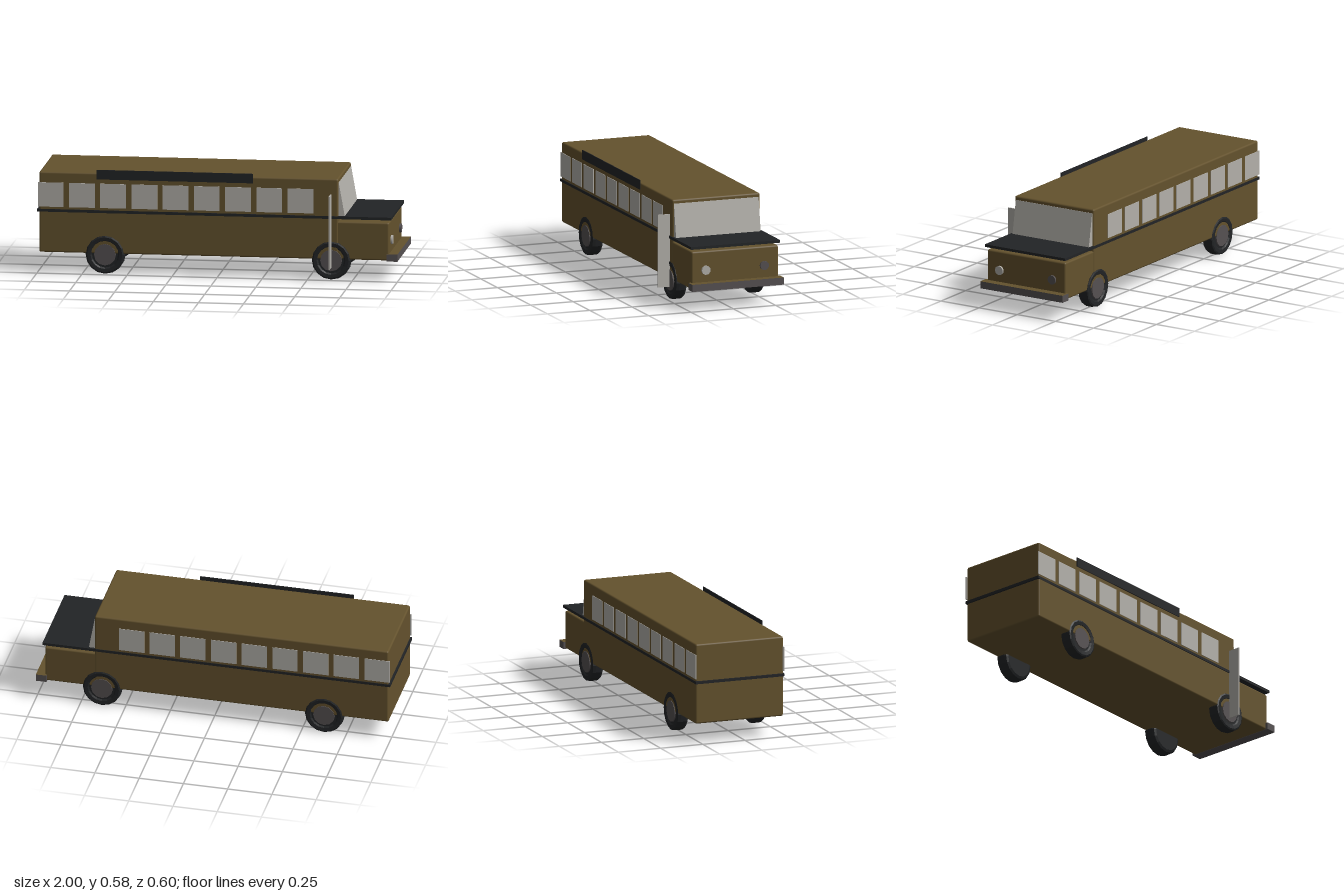
import * as THREE from 'three';
import { RoundedBoxGeometry } from 'three/addons/geometries/RoundedBoxGeometry.js';

export function createModel() {
  const bus = new THREE.Group();
  bus.name = 'bus';
  const mat = (name, color, side = THREE.FrontSide) => {
    const m = new THREE.MeshStandardMaterial({ color, side });
    m.name = name;
    return m;
  };
  const olive = mat('olive paint', 0x64522d);
  const black = mat('black trim', 0x222426);
  const glass = mat('pale glass', 0xb3b0aa);
  const grey = mat('dark grey metal', 0x565152);

  const add = (name, geometry, material, parent = bus) => {
    const m = new THREE.Mesh(geometry, material);
    m.name = name;
    parent.add(m);
    return m;
  };
  // Box given by its limits on each axis, with optional rounded edges
  const box = (name, material, [x0, x1], [y0, y1], [z0, z1], r = 0) => {
    const s = [x1 - x0, y1 - y0, z1 - z0];
    const g = r ? new RoundedBoxGeometry(...s, 2, r) : new THREE.BoxGeometry(...s);
    g.translate((x0 + x1) / 2, (y0 + y1) / 2, (z0 + z1) / 2);
    return add(name, g, material);
  };

  // Bodywork
  box('body', olive, [-0.99, 0.67], [0.115, 0.565], [-0.288, 0.231], 0.01);
  box('hood', olive, [0.65, 0.952], [0.115, 0.327], [-0.285, 0.228], 0.01);
  box('beltTrim', black, [-1, 0.964], [0.342, 0.357], [-0.291, 0.235]);
  box('bumper', [grey, grey, olive, grey, grey, grey], [0.94, 1], [0.113, 0.153], [-0.298, 0.242]);

  // Windscreen wedge
  const wedge = new THREE.Shape([
    new THREE.Vector2(0.669, 0.357),
    new THREE.Vector2(0.705, 0.357),
    new THREE.Vector2(0.672, 0.543),
    new THREE.Vector2(0.669, 0.543),
  ]);
  const screen = new THREE.ExtrudeGeometry(wedge, { depth: 0.5, bevelEnabled: false });
  screen.translate(0, 0, -0.278);
  add('windscreen', screen, glass);

  // Side windows
  for (let i = 0; i < 9; i++) {
    const x = -0.997 + i * 0.1733;
    box('leftWindow', glass, [x, x + 0.143], [0.37, 0.506], [0.229, 0.234]);
    box('rightWindow', glass, [x, x + 0.143], [0.37, 0.506], [-0.291, -0.286]);
  }

  // Roof-edge board and folding door panel
  box('roofBoard', black, [-0.67, 0.197], [0.53, 0.583], [0.231, 0.236]);
  box('doorPanel', glass, [0.626, 0.633], [0.07, 0.478], [0.231, 0.3]);

  // Headlights
  for (const [z, material] of [[0.145, glass], [-0.2, grey]]) {
    const g = new THREE.CylinderGeometry(0.026, 0.026, 0.02, 9);
    g.rotateZ(-Math.PI / 2);
    add('headlight', g, material).position.set(0.953, 0.22, z);
  }

  // Wheels: tyre with a raised sidewall ring, hub set inside it
  const profile = [
    [0, -0.034], [0.09, -0.034], [0.103, -0.028], [0.109, -0.016], [0.109, 0.016],
    [0.106, 0.032], [0.098, 0.036], [0.08, 0.034], [0.072, 0.028], [0, 0.028],
  ].map(([r, y]) => new THREE.Vector2(r, y));
  const tyreGeo = new THREE.LatheGeometry(profile, 16).toNonIndexed();
  tyreGeo.computeVertexNormals();
  tyreGeo.rotateX(Math.PI / 2);
  const hubGeo = new THREE.CylinderGeometry(0.06, 0.064, 0.024, 12);
  hubGeo.rotateX(Math.PI / 2);
  hubGeo.translate(0, 0, 0.023);
  for (const x of [-0.625, 0.63]) {
    for (const side of [1, -1]) {
      const wheel = new THREE.Group();
      wheel.name = side > 0 ? 'leftWheel' : 'rightWheel';
      wheel.position.set(x, 0.109, side > 0 ? 0.199 : -0.256);
      if (side < 0) wheel.rotation.y = Math.PI;
      add('tyre', tyreGeo, black, wheel);
      add('hub', hubGeo, grey, wheel);
      bus.add(wheel);
    }
  }
  return bus;
}
